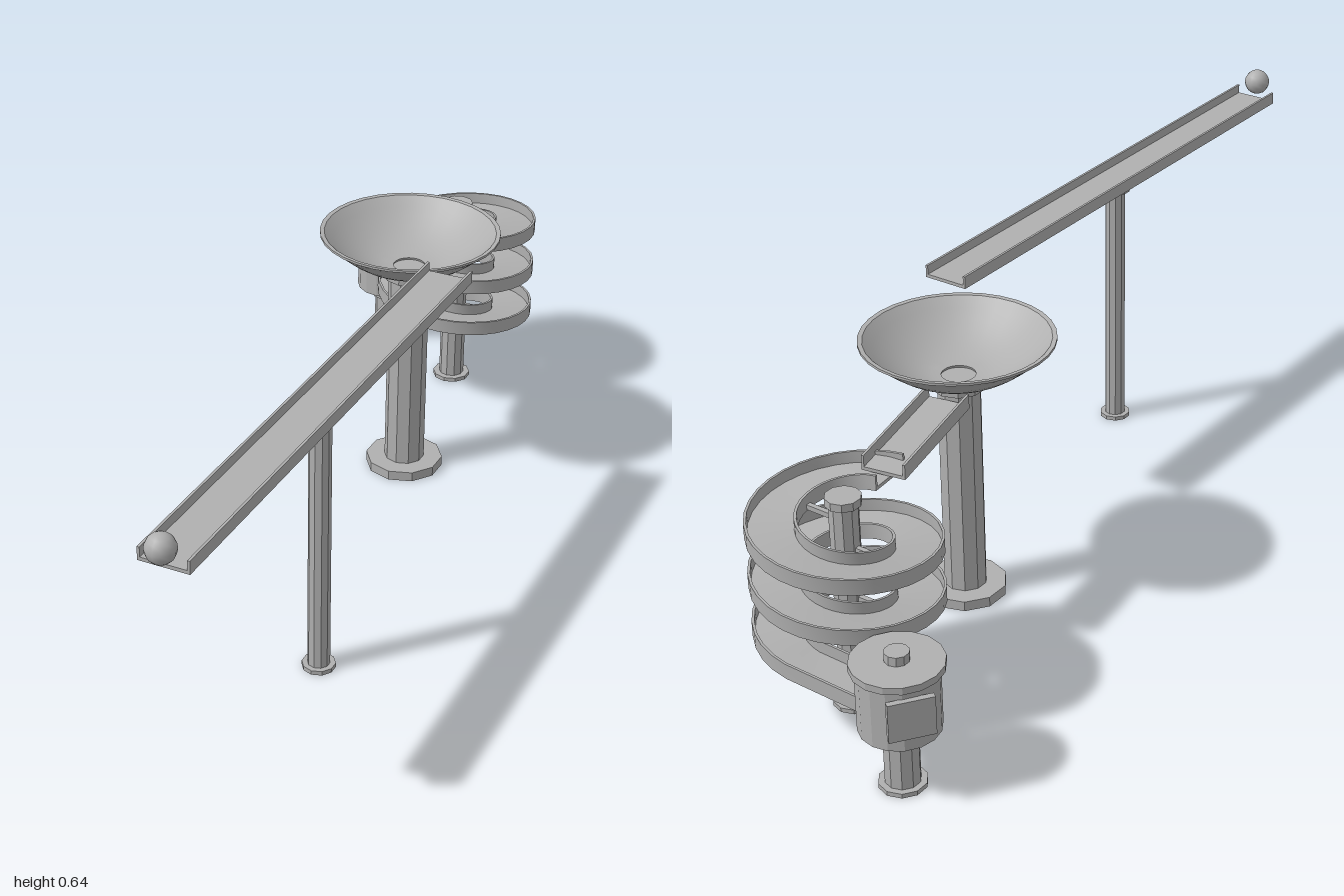
import * as THREE from 'three';
import { toCreasedNormals } from 'three/addons/utils/BufferGeometryUtils.js';

const smoothGrey = new THREE.MeshStandardMaterial({ color: 0xb0b0b0 });
smoothGrey.name = 'grey plastic';

function mesh(name, geometry, x = 0, y = 0, z = 0) {
  const m = new THREE.Mesh(geometry, smoothGrey);
  m.name = name;
  m.position.set(x, y, z);
  return m;
}

// Faceted upright prism between two heights
function prism(name, r, y0, y1, sides = 10) {
  const g = toCreasedNormals(new THREE.CylinderGeometry(r, r, y1 - y0, sides), 0.1);
  return mesh(name, g, 0, (y0 + y1) / 2, 0);
}

// Post with a foot and a collar
function post(name, x, z, r, top, rFoot, hFoot, rCap, hCap) {
  const g = new THREE.Group();
  g.name = name;
  g.position.set(x, 0, z);
  g.add(
    prism('foot', rFoot, 0, hFoot),
    prism('shaft', r, hFoot, top - hCap),
    prism('collar', rCap, top - hCap, top)
  );
  return g;
}

// U-shaped track swept along a path that marks the underside's middle
function track(name, path, width, height, wall = 0.005, floor = 0.007) {
  const w = width / 2, i = w - wall;
  const section = [[-w, 0], [w, 0], [w, height], [i, height], [i, floor], [-i, floor], [-i, height], [-w, height]];
  const pos = [], index = [], n = section.length;
  path.forEach((p, k) => {
    const d = path[Math.min(k + 1, path.length - 1)].clone().sub(path[Math.max(k - 1, 0)]);
    const side = new THREE.Vector3(-d.z, 0, d.x).normalize();
    for (const [u, v] of section) pos.push(p.x + side.x * u, p.y + v, p.z + side.z * u);
    if (k === 0) return;
    for (let a = 0; a < n; a++) {
      const b = (a + 1) % n, r0 = (k - 1) * n, r1 = k * n;
      index.push(r0 + a, r1 + a, r0 + b, r0 + b, r1 + a, r1 + b);
    }
  });
  // End caps: floor strip plus two walls
  const last = (path.length - 1) * n;
  for (const [a, b, c, d] of [[0, 1, 4, 5], [1, 2, 3, 4], [0, 5, 6, 7]]) {
    index.push(a, b, c, a, c, d);
    index.push(last + a, last + c, last + b, last + a, last + d, last + c);
  }
  const g = new THREE.BufferGeometry();
  g.setAttribute('position', new THREE.Float32BufferAttribute(pos, 3));
  g.setIndex(index);
  return mesh(name, toCreasedNormals(g, 0.6));
}

const V = (x, y, z) => new THREE.Vector3(x, y, z);

export function createModel() {
  const model = new THREE.Group();
  model.name = 'marbleRun';

  // Long starting ramp, its post and the marble
  model.add(track('startRamp', [V(0.244, 0.574, 0.965), V(0.244, 0.563, -0.2)], 0.097, 0.026));
  model.add(post('rampPost', 0.244, 0.39, 0.022, 0.567, 0.033, 0.009, 0.032, 0.016));
  model.add(mesh('marble', new THREE.SphereGeometry(0.028, 12, 10), 0.244, 0.615, 0.972));

  // Funnel bowl with a drain hole, on a thick post
  const outer = [], inner = [];
  for (let k = 0; k <= 8; k++) {
    const r = 0.035 + (0.146 * k) / 8;
    const y = 0.477 + 0.078 * Math.pow(k / 8, 1.9);
    outer.push(new THREE.Vector2(r, y));
    inner.unshift(new THREE.Vector2(r - 0.002, y + 0.006));
  }
  const rim = [new THREE.Vector2(0.188, 0.557), new THREE.Vector2(0.188, 0.562)];
  const bowl = new THREE.LatheGeometry([...outer, ...rim, ...inner, outer[0].clone()], 32);
  model.add(mesh('bowl', toCreasedNormals(bowl, 0.6), 0.085, 0, -0.367));
  model.add(post('bowlPost', 0.085, -0.367, 0.043, 0.478, 0.083, 0.021, 0.053, 0.02));

  // Short chute from the bowl to the spiral
  model.add(track('bowlChute', [V(0.078, 0.44, -0.41), V(0.035, 0.418, -0.655)], 0.09, 0.03));

  // Spiral track of two and a half turns with a straight exit
  const cx = 0.022, cz = -0.781, R = 0.13, startY = 0.411, pitch = 0.103;
  const spiral = [], steps = 80;
  for (let k = 0; k <= steps; k++) {
    const a = (k / steps) * Math.PI * 5;
    spiral.push(V(cx + R * Math.sin(a), startY - pitch * a / (2 * Math.PI), cz + R * Math.cos(a)));
  }
  spiral.push(V(-0.148, 0.15, cz - R));
  model.add(track('spiralTrack', spiral, 0.093, 0.031));
  model.add(post('spiralPost', cx, cz, 0.028, 0.442, 0.042, 0.009, 0.034, 0.016));

  // Struts holding the spiral on both sides of its post
  for (let k = 0; k < 5; k++) {
    const side = k % 2 ? -1 : 1;
    const y = startY - pitch * (0.25 + k / 2) + 0.006;
    model.add(mesh('strut', new THREE.BoxGeometry(0.064, 0.01, 0.01), cx + side * 0.054, y, cz));
  }

  // Catch drum with lid, knob and two side plates
  const drum = new THREE.Group();
  drum.name = 'catchDrum';
  drum.position.set(-0.202, 0, -0.918);
  drum.add(
    prism('drumBody', 0.075, 0.124, 0.248, 16),
    prism('drumLid', 0.085, 0.248, 0.262, 16),
    prism('lidKnob', 0.023, 0.262, 0.28)
  );
  for (const s of [-1, 1]) {
    const plate = mesh('sidePlate', new THREE.BoxGeometry(0.012, 0.077, 0.085), s * 0.064, 0.193, s * 0.045);
    plate.rotation.y = -Math.atan2(0.58, 0.81);
    drum.add(plate);
  }
  model.add(drum);
  model.add(post('drumPost', -0.202, -0.918, 0.033, 0.115, 0.045, 0.009, 0.04, 0.017));

  return model;
}
